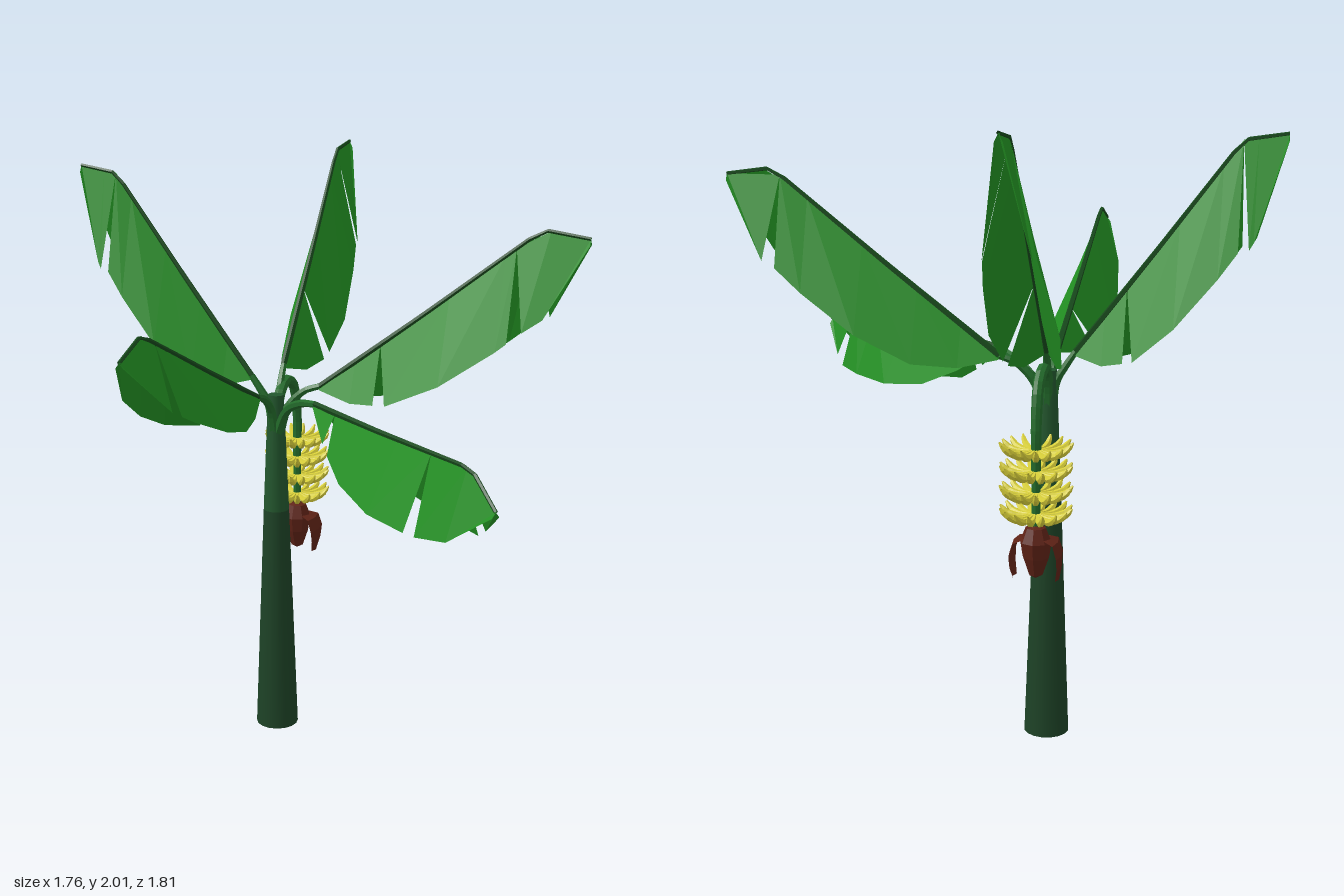
import * as THREE from 'three';

const V = (x, y, z) => new THREE.Vector3(x, y, z);
const mat = (color, flat = true) => new THREE.MeshStandardMaterial({ color, flatShading: flat, side: THREE.DoubleSide });
const trunkMat = mat(0x1d4226, false), sheathMat = mat(0x22562d, false), stemMat = mat(0x236b2b);
const ribMat = mat(0x17491b), leafMat = mat(0x228f22), fruitMat = mat(0xd8cf3a), budMat = mat(0x5e2216);
const TX = -0.165, TZ = -0.175;

function add(parent, name, geo, material) {
  const m = new THREE.Mesh(geo, material);
  m.name = name;
  parent.add(m);
  return m;
}

// Tube whose radius follows radius(t) along the curve
function taperedTube(curve, segs, sides, radius) {
  const g = new THREE.TubeGeometry(curve, segs, 1, sides, false);
  const p = g.attributes.position, v = V(0, 0, 0);
  for (let i = 0; i < p.count; i++) {
    const t = Math.floor(i / (sides + 1)) / segs, c = curve.getPointAt(t);
    v.fromBufferAttribute(p, i).sub(c).multiplyScalar(radius(t)).add(c);
    p.setXYZ(i, v.x, v.y, v.z);
  }
  g.computeVertexNormals();
  return g;
}

// Linear interpolation in a list of [position, value]
function sample(list, u) {
  for (let i = 1; i < list.length; i++) {
    const [a, av] = list[i - 1], [b, bv] = list[i];
    if (u <= b) return av + (bv - av) * (u - a) / (b - a);
  }
  return list[list.length - 1][1];
}

const WIDTH = [[0, 0.01], [0.14, 0.05], [0.3, 0.085], [0.5, 0.105], [0.7, 0.09], [0.85, 0.07], [1, 0.012]];
const DROP = [[0, 0.04], [0.14, 0.45], [0.3, 0.78], [0.5, 0.95], [0.7, 1], [0.85, 0.98], [1, 0.07]];

// Drooping folded leaf; slits = [right half, left half] as positions along the rib
function makeLeaf({ from, to, heights, drop, slits }) {
  const leaf = new THREE.Group();
  leaf.name = 'leaf';
  const dx = to[0] - from[0], dz = to[1] - from[1], len = Math.hypot(dx, dz);
  const rib = u => V(from[0] + dx * u, sample(heights, u), from[1] + dz * u);
  const edge = (u, s) => {
    const w = sample(WIDTH, u) * s / len;
    return rib(u).add(V(-dz * w, -sample(DROP, u) * drop, dx * w));
  };

  // Blade halves, each torn into panels at the slits
  [1, -1].forEach((s, k) => {
    const pos = [];
    const cuts = [0, ...slits[k], 1];
    for (let c = 1; c < cuts.length; c++) {
      const a = cuts[c - 1], b = cuts[c];
      const us = [a, ...[0.14, 0.3, 0.5, 0.7, 0.86].filter(u => u > a + 0.06 && u < b - 0.01), b];
      const lower = us.map((u, i) => edge(i === 0 && a > 0 ? u + 0.05 : u, s));
      for (let i = 1; i < us.length; i++) {
        const r0 = rib(us[i - 1]), r1 = rib(us[i]), e0 = lower[i - 1], e1 = lower[i];
        const tris = s > 0 ? [r0, e0, r1, r1, e0, e1] : [r0, r1, e0, r1, e1, e0];
        tris.forEach(p => pos.push(p.x, p.y, p.z));
      }
    }
    const g = new THREE.BufferGeometry();
    g.setAttribute('position', new THREE.Float32BufferAttribute(pos, 3));
    g.computeVertexNormals();
    add(leaf, s > 0 ? 'rightBlade' : 'leftBlade', g, leafMat);
  });

  // Midrib along the fold
  const ribPath = new THREE.CurvePath();
  for (let i = 1; i < heights.length; i++) ribPath.add(new THREE.LineCurve3(rib(heights[i - 1][0]), rib(heights[i][0])));
  add(leaf, 'midrib', taperedTube(ribPath, 16, 5, t => 0.011 - 0.005 * t), ribMat);

  // Leaf stalk arching out of the trunk
  const base = rib(0);
  const ux = dx / len, uz = dz / len;
  const reach = Math.hypot(base.x - TX, base.z - TZ);
  const rise = sample(heights, 0.1) - base.y;
  const stalk = new THREE.CatmullRomCurve3([
    V(TX + ux * 0.01, 1.08, TZ + uz * 0.01),
    V(TX + (base.x - TX) * 0.28, 1.18, TZ + (base.z - TZ) * 0.28),
    V(TX + (base.x - TX) * 0.65, base.y - 0.02 - rise * 0.1 * (reach < 0.15 ? 3 : 0), TZ + (base.z - TZ) * 0.65),
    base,
  ]);
  add(leaf, 'leafStalk', taperedTube(stalk, 10, 6, t => 0.018 - 0.007 * t), stemMat);
  return leaf;
}

export function createModel() {
  const tree = new THREE.Group();
  tree.name = 'bananaPlant';

  // Trunk in two tones
  const lower = add(tree, 'trunk', new THREE.CylinderGeometry(0.044, 0.074, 0.81, 16), trunkMat);
  lower.position.set(TX, 0.405, TZ);
  const upper = add(tree, 'upperTrunk', new THREE.CylinderGeometry(0.027, 0.044, 0.41, 16), sheathMat);
  upper.position.set(TX, 1.015, TZ);

  // Crown of five leaves
  [
    { from: [-0.01, -0.19], to: [0.88, -0.19], heights: [[0, 1.26], [0.4, 1.53], [0.83, 1.83], [1, 1.81]], drop: 0.29, slits: [[0.24, 0.74], [0.8]] },
    { from: [-0.25, -0.165], to: [-0.88, -0.165], heights: [[0, 1.28], [0.4, 1.61], [0.79, 1.94], [1, 1.96]], drop: 0.33, slits: [[0.25, 0.79], [0.79]] },
    { from: [-0.18, -0.28], to: [-0.18, -0.9], heights: [[0, 1.3], [0.4, 1.64], [0.79, 1.98], [1, 2.0]], drop: 0.34, slits: [[0.28, 0.79], [0.79]] },
    { from: [-0.16, -0.01], to: [-0.16, 0.91], heights: [[0, 1.25], [0.4, 1.42], [0.86, 1.62], [1, 1.57]], drop: 0.21, slits: [[0.24], [0.77]] },
    { from: [0.05, 0.0], to: [0.84, 0.65], heights: [[0, 1.25], [0.4, 1.26], [0.88, 1.28], [1, 1.19]], drop: 0.23, slits: [[0.13, 0.68], [0.82]] },
  ].forEach(spec => tree.add(makeLeaf(spec)));

  // Hanging fruit stalk behind the trunk
  const FX = -0.17, FZ = -0.375;
  const stalk = new THREE.CatmullRomCurve3([
    V(TX, 1.12, TZ), V(TX, 1.2, -0.2), V(FX, 1.245, -0.27), V(FX, 1.215, -0.34),
    V(FX, 1.1, FZ), V(FX, 0.95, FZ), V(FX, 0.75, FZ),
  ]);
  add(tree, 'fruitStalk', taperedTube(stalk, 20, 8, t => 0.021 - 0.008 * t), stemMat);

  // Four tiers of curved bananas
  const bunch = new THREE.Group();
  bunch.name = 'bananaBunch';
  bunch.position.set(FX, 0, FZ);
  tree.add(bunch);
  const arc = new THREE.QuadraticBezierCurve3(V(0.012, 0.012, 0), V(0.085, -0.014, 0), V(0.113, 0.036, 0));
  const banana = taperedTube(arc, 7, 6, t => t < 0.12 ? 0.005 : t > 0.98 ? 0.003 : 0.0125 * (1 - 0.5 * Math.abs(2 * t - 1.1)));
  for (let tier = 0; tier < 4; tier++) {
    for (let i = 0; i < 16; i++) {
      const b = add(bunch, 'banana', banana, fruitMat);
      b.position.y = 0.795 + tier * 0.068;
      b.rotation.y = (i + (tier % 2) * 0.5) * Math.PI / 8;
    }
  }

  // Flower bud with two open bracts
  const bud = new THREE.Group();
  bud.name = 'flowerBud';
  bud.position.set(FX, 0, FZ);
  tree.add(bud);
  const profile = [[0.001, 0.6], [0.022, 0.612], [0.042, 0.67], [0.05, 0.72], [0.032, 0.765], [0.001, 0.775]];
  add(bud, 'budCore', new THREE.LatheGeometry(profile.map(p => new THREE.Vector2(...p)), 8), budMat);
  // Cross-sections of a bract: outward, height, half width
  const bract = [[0.03, 0.735, 0.03], [0.07, 0.722, 0.05], [0.083, 0.68, 0.054], [0.082, 0.64, 0.042], [0.074, 0.6, 0.025]];
  for (const side of [1, -1]) {
    const g = new THREE.PlaneGeometry(1, 1, 2, bract.length - 1);
    const p = g.attributes.position;
    for (let i = 0; i < p.count; i++) {
      const [out, y, w] = bract[Math.floor(i / 3)], k = i % 3 - 1;
      p.setXYZ(i, side * (out - 0.008 * Math.abs(k)), y, k * w);
    }
    g.computeVertexNormals();
    add(bud, 'bract', g, budMat);
  }
  return tree;
}
